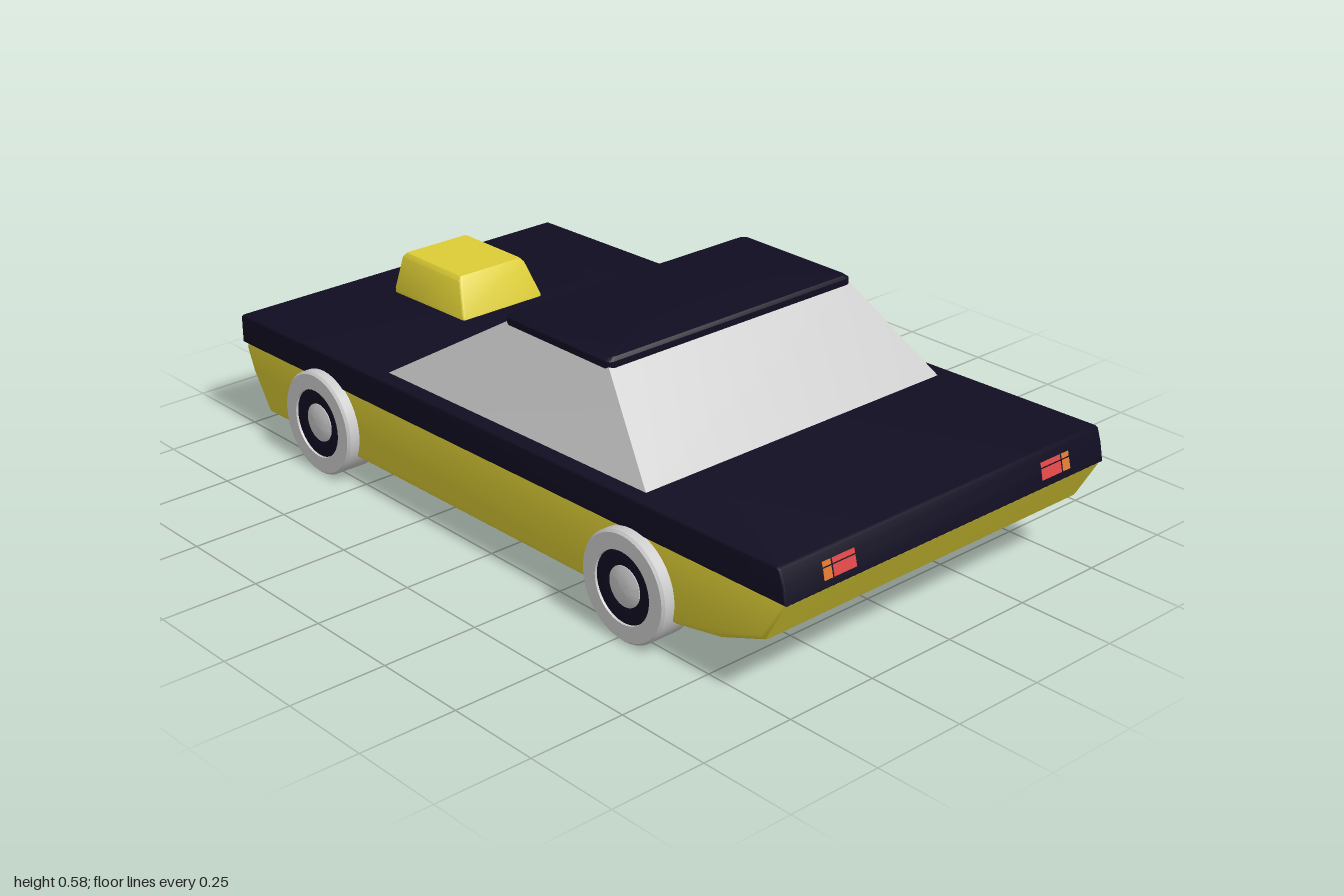
import * as THREE from 'three';
import { toCreasedNormals } from 'three/addons/utils/BufferGeometryUtils.js';

const mat = (color) => new THREE.MeshStandardMaterial({ color });
const navy = mat(0x110d22), yellow = mat(0xdccd35), grey = mat(0xcccccc);
const red = mat(0xe04848), orange = mat(0xe07830);

function add(group, name, geometry, material) {
  const mesh = new THREE.Mesh(geometry, material);
  mesh.name = name;
  group.add(mesh);
  return mesh;
}

// Side profile in x/y extruded across the car's width, with softened edges
function slab(points, width, bevel) {
  const shape = new THREE.Shape(points.map(([x, y]) => new THREE.Vector2(x, y)));
  const geo = new THREE.ExtrudeGeometry(shape, {
    depth: width - 2 * bevel, bevelThickness: bevel, bevelSize: bevel,
    bevelOffset: -bevel, bevelSegments: 3,
  });
  geo.translate(0, 0, bevel - width / 2);
  return toCreasedNormals(geo, 0.6);
}

// Closed stack of rounded rectangles, each level [y, xMin, xMax, halfDepth, cornerRadius]
function loft(levels) {
  const per = 16, pos = [], idx = [];
  for (const [y, x0, x1, hz, r] of levels) {
    for (let i = 0; i < per; i++) {
      const corner = Math.floor(i / 4);
      const a = (corner + (i % 4) / 3) * Math.PI / 2;
      const sx = corner === 0 || corner === 3 ? 1 : -1, sz = corner < 2 ? 1 : -1;
      pos.push((x0 + x1) / 2 + sx * ((x1 - x0) / 2 - r) + r * Math.cos(a), y,
        sz * (hz - r) + r * Math.sin(a));
    }
  }
  for (let l = 0; l < levels.length - 1; l++) {
    for (let i = 0; i < per; i++) {
      const a = l * per + i, b = l * per + (i + 1) % per;
      idx.push(a, a + per, b, b, a + per, b + per);
    }
  }
  const top = (levels.length - 1) * per;
  for (let i = 1; i < per - 1; i++) {
    idx.push(0, i, i + 1, top, top + i + 1, top + i);
  }
  const geo = new THREE.BufferGeometry();
  geo.setAttribute('position', new THREE.Float32BufferAttribute(pos, 3));
  geo.setIndex(idx);
  return toCreasedNormals(geo, 0.5);
}

// Lathe around z, outer face towards +z; profile points are [radius, z]
function turned(points) {
  const geo = new THREE.LatheGeometry(points.map(([r, z]) => new THREE.Vector2(r, z)), 40);
  geo.rotateX(Math.PI / 2);
  return toCreasedNormals(geo, 0.6);
}

function makeWheel() {
  const wheel = new THREE.Group();
  add(wheel, 'tire', turned([[0, 0], [0.136, 0], [0.136, 0.084], [0.13, 0.09], [0.09, 0.09], [0.088, 0.078], [0, 0.078]]), grey);
  add(wheel, 'rim', turned([[0.09, 0.07], [0.09, 0.084], [0.08, 0.087], [0.05, 0.08], [0, 0.08]]), navy);
  add(wheel, 'hub', turned([[0.05, 0.07], [0.05, 0.082], [0.035, 0.087], [0.015, 0.09], [0, 0.09]]), grey);
  return wheel;
}

export function createModel() {
  const car = new THREE.Group();
  car.name = 'car';

  // Body
  add(car, 'lowerBody', slab([
    [-0.985, 0.25], [-0.99, 0.225], [-0.965, 0.165], [-0.9, 0.068], [0.66, 0.088],
    [0.8, 0.115], [0.93, 0.165], [0.992, 0.27], [0.98, 0.285],
  ], 1.03, 0.012), yellow);
  add(car, 'upperBody', slab([
    [-1, 0.236], [0.994, 0.272], [0.985, 0.318], [0.974, 0.35], [0.965, 0.354], [-0.995, 0.313], [-1, 0.308],
  ], 1.036, 0.005), navy);

  // Glasshouse, with its base following the slope of the deck
  const cabin = loft([[0.31, -0.42, 0.52, 0.475, 0.001], [0.545, -0.065, 0.3, 0.388, 0.001]]);
  const p = cabin.attributes.position;
  for (let i = 0; i < p.count; i++) {
    if (p.getY(i) < 0.4) p.setY(i, 0.333 + 0.021 * p.getX(i));
  }
  add(car, 'cabin', toCreasedNormals(cabin, 0.3), grey);

  // Gently domed roof panel
  add(car, 'roof', loft([
    [0.541, -0.067, 0.303, 0.39, 0.015], [0.558, -0.067, 0.303, 0.39, 0.015],
    [0.566, -0.06, 0.296, 0.38, 0.015], [0.572, -0.03, 0.266, 0.32, 0.015],
    [0.576, 0.04, 0.196, 0.2, 0.015],
  ]), navy);

  // Bonnet scoop
  add(car, 'hoodScoop', loft([
    [0.312, -0.855, -0.558, 0.13, 0.006], [0.328, -0.855, -0.562, 0.13, 0.006],
    [0.412, -0.847, -0.6, 0.108, 0.006], [0.423, -0.838, -0.608, 0.099, 0.006],
  ]), yellow);

  // Wheels
  for (const [x, end] of [[-0.635, 'front'], [0.52, 'rear']]) {
    for (const side of [1, -1]) {
      const wheel = makeWheel();
      wheel.name = end + 'Wheel';
      wheel.position.set(x, 0.136, side * 0.458);
      if (side < 0) wheel.rotation.y = Math.PI;
      car.add(wheel);
    }
  }

  // Lamps at both ends, with the indicators outboard
  const lamps = [
    { end: 'rear', x: 0.981, y: 0.309, tilt: 0.25, main: red },
    { end: 'front', x: -0.996, y: 0.274, tilt: 0, main: grey },
  ];
  for (const { end, x, y, tilt, main } of lamps) {
    for (const side of [1, -1]) {
      const lamp = add(car, end + 'Lamp', new THREE.BoxGeometry(0.012, 0.042, 0.068), main);
      lamp.position.set(x, y, side * 0.337);
      const signal = add(car, end + 'Indicator', new THREE.BoxGeometry(0.012, 0.042, 0.025), orange);
      signal.position.set(x, y, side * 0.388);
      lamp.rotation.z = signal.rotation.z = tilt;
    }
  }
  return car;
}
